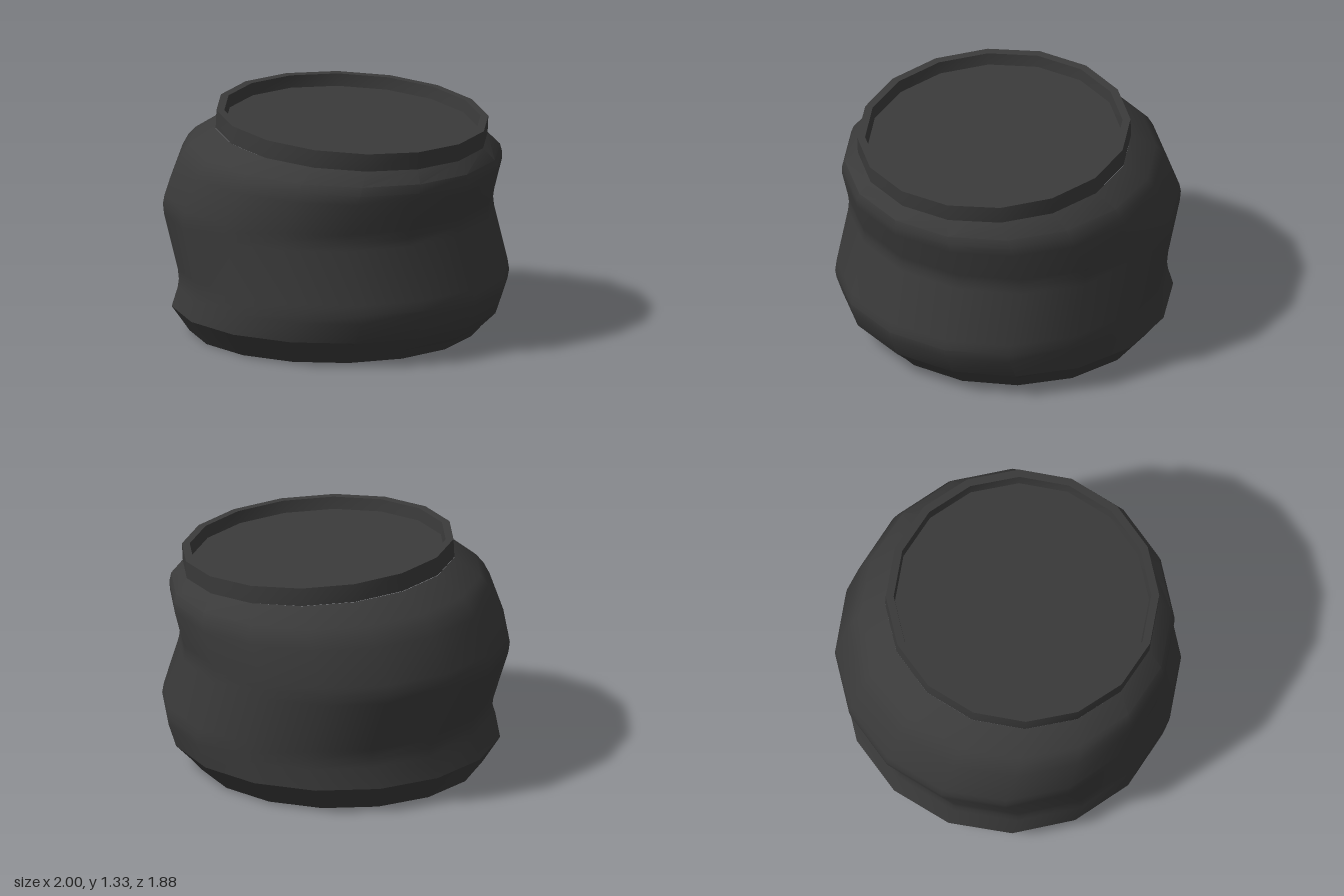
import * as THREE from 'three';
import { toCreasedNormals } from 'three/addons/utils/BufferGeometryUtils.js';

const SIDES = 16;
const material = new THREE.MeshStandardMaterial({ color: 0x3a3a3a });

// Skins a stack of rings, each [centre x, centre y, radius, drop per unit x].
// A radius of 0 closes the stack to a point.
function ringMesh(name, rings) {
  const positions = [];
  const index = [];
  for (const [cx, cy, r, tilt] of rings) {
    for (let j = 0; j < SIDES; j++) {
      const a = (j / SIDES) * Math.PI * 2;
      const dx = r * Math.cos(a);
      positions.push(cx + dx, cy - tilt * dx, -r * Math.sin(a));
    }
  }
  for (let i = 0; i < rings.length - 1; i++) {
    for (let j = 0; j < SIDES; j++) {
      const k = (j + 1) % SIDES;
      const a = i * SIDES + j, b = i * SIDES + k;
      const c = a + SIDES, d = b + SIDES;
      if (rings[i][2] > 0) index.push(a, b, d);
      if (rings[i + 1][2] > 0) index.push(a, d, c);
    }
  }
  const geometry = new THREE.BufferGeometry();
  geometry.setAttribute('position', new THREE.Float32BufferAttribute(positions, 3));
  geometry.setIndex(index);
  const mesh = new THREE.Mesh(toCreasedNormals(geometry, THREE.MathUtils.degToRad(30)), material);
  mesh.name = name;
  return mesh;
}

export function createModel() {
  const group = new THREE.Group();
  group.name = 'crushedCan';

  // Recessed underside with its standing rim
  group.add(ringMesh('base', [
    [-0.025, 0.07, 0, 0],
    [-0.025, 0.07, 0.72, 0],
    [-0.025, 0, 0.735, 0],
    [-0.025, 0, 0.815, 0],
  ]));

  // Buckled wall: rings pushed sideways, tilting towards the shoulder
  group.add(ringMesh('body', [
    [-0.025, 0, 0.815, 0],
    [-0.015, 0.07, 0.87, 0],
    [0.002, 0.15, 0.938, 0],
    [0.048, 0.27, 0.94, 0],
    [0.058, 0.32, 0.941, 0],
    [0.048, 0.38, 0.94, 0],
    [-0.05, 0.68, 0.94, 0],
    [-0.058, 0.735, 0.941, 0.008],
    [-0.048, 0.785, 0.94, 0.01],
    [0.025, 0.98, 0.925, 0.03],
    [0.047, 1.035, 0.91, 0.04],
    [0.065, 1.085, 0.883, 0.04],
    [0.113, 1.17, 0.775, 0.065],
  ]));

  // Upright rim around the tilted top
  group.add(ringMesh('topRim', [
    [0.113, 1.17, 0.775, 0.068],
    [0.119, 1.275, 0.775, 0.071],
    [0.119, 1.275, 0.73, 0.071],
    [0.115, 1.205, 0.72, 0.071],
  ]));

  // Sunken lid
  group.add(ringMesh('lid', [
    [0.115, 1.205, 0.72, 0.071],
    [0.115, 1.205, 0, 0.071],
  ]));

  return group;
}
